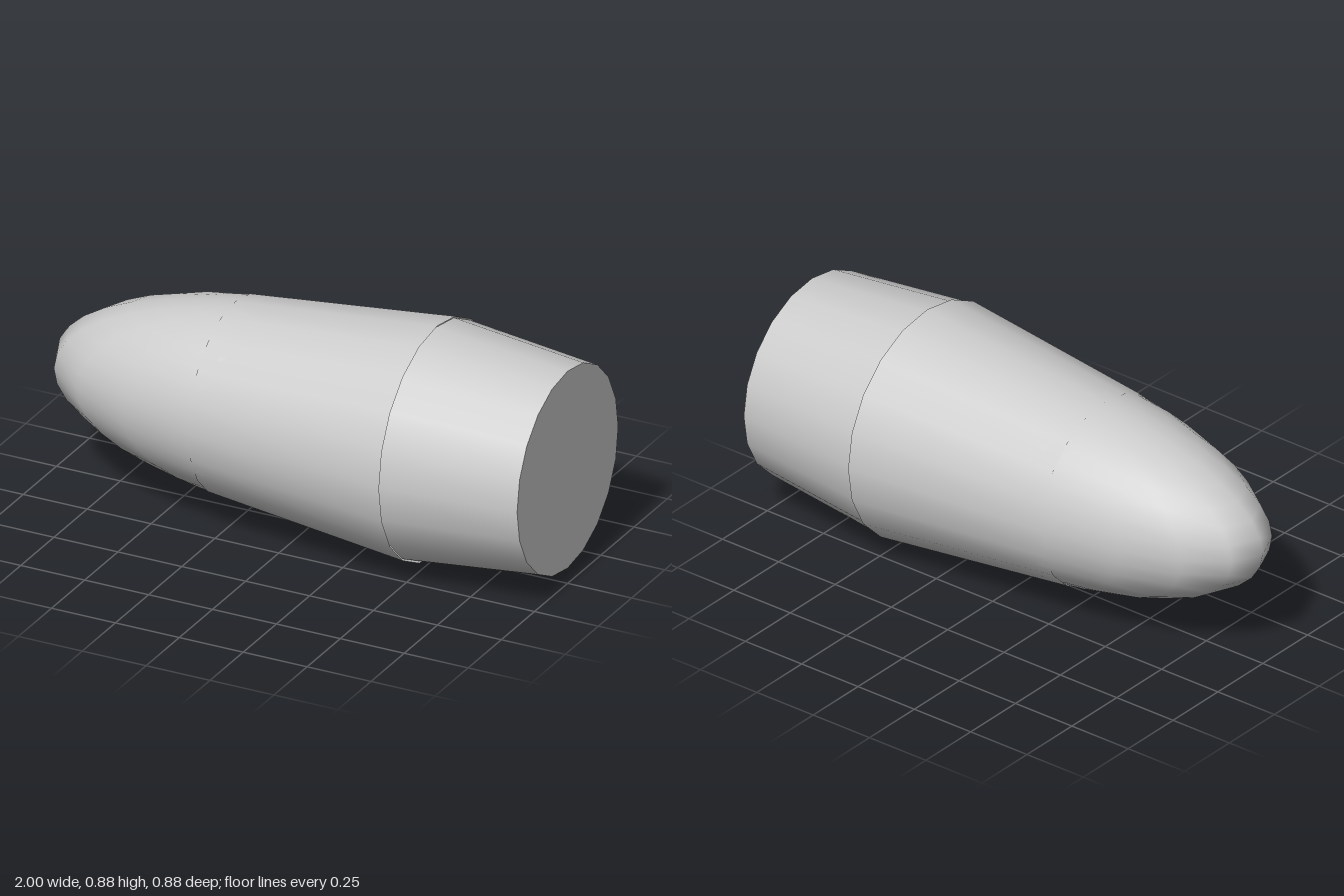
import * as THREE from 'three';

const SIDES = 20;
const AXIS_Y = 0.44;

export function createModel() {
  const group = new THREE.Group();
  const material = new THREE.MeshStandardMaterial({ color: 0xcccccc, side: THREE.DoubleSide });

  const add = (name, geometry) => {
    const mesh = new THREE.Mesh(geometry, material);
    mesh.name = name;
    mesh.position.y = AXIS_Y;
    group.add(mesh);
  };

  // Tapered tube along x, from x0 (radius r0) to x1 (radius r1)
  const taper = (x0, r0, x1, r1, open) =>
    new THREE.CylinderGeometry(r1, r0, x1 - x0, SIDES, 1, open)
      .rotateZ(-Math.PI / 2)
      .translate((x0 + x1) / 2, 0, 0);

  // Stretched ellipsoid nose, its inner half buried in the body
  add('nose', new THREE.SphereGeometry(1, SIDES, SIDES).scale(1, 0.37, 0.37));

  // Flaring shell, open at both ends
  add('frontBody', taper(-0.3, 0.356, 0.49, 0.44, true));

  // Narrowing rear section with a flat end
  add('rearBody', taper(0.485, 0.434, 1, 0.381, false));

  return group;
}
